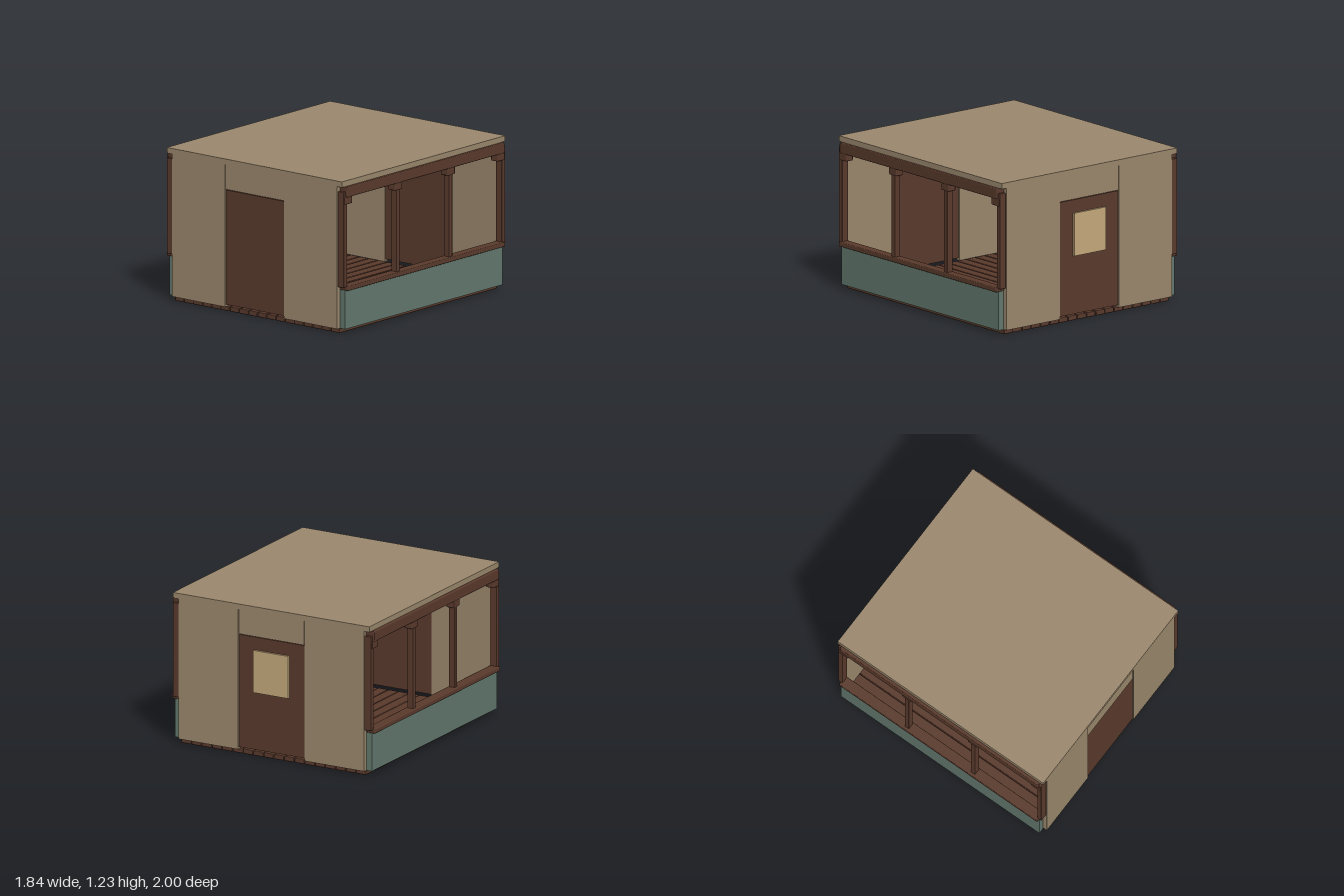
import * as THREE from 'three';
import { RoundedBoxGeometry } from 'three/addons/geometries/RoundedBoxGeometry.js';

const material = (name, color) => {
  const m = new THREE.MeshStandardMaterial({ color });
  m.name = name;
  return m;
};

export function createModel() {
  const plaster = material('tan plaster', 0x9b886d);
  const wood = material('dark wood', 0x5a3a2c);
  const teal = material('muted teal', 0x62786d);
  const paper = material('warm paper', 0xc4a97c);

  const model = new THREE.Group();
  model.name = 'pavilion';
  const body = new THREE.Group();
  body.name = 'body';
  body.position.z = 0.005; // the rear window overhangs slightly
  model.add(body);

  // Box from its limits, with an optional small bevel
  const box = (name, mat, [x0, x1], [y0, y1], [z0, z1], bevel = 0) => {
    const size = [x1 - x0, y1 - y0, z1 - z0];
    const geo = bevel ? new RoundedBoxGeometry(...size, 1, bevel) : new THREE.BoxGeometry(...size);
    const mesh = new THREE.Mesh(geo, mat);
    mesh.name = name;
    mesh.position.set((x0 + x1) / 2, (y0 + y1) / 2, (z0 + z1) / 2);
    body.add(mesh);
    return mesh;
  };
  const span = (a, b, s) => (s > 0 ? [a, b] : [-b, -a]);
  const around = (c, w) => [c - w / 2, c + w / 2];

  // Floor planks
  const planks = 18, pitch = 1.68 / planks;
  for (let i = 0; i < planks; i++) {
    box('floorPlank', wood, around(-0.84 + (i + 0.5) * pitch, pitch - 0.006), [0, 0.04], [-0.96, 0.96], 0.007);
  }

  // Roof slab and ceiling rafters
  box('roof', plaster, [-0.89, 0.89], [1.185, 1.23], [-0.995, 0.995]);
  for (const z of [-0.75, -0.25, 0.25, 0.75]) {
    box('rafter', wood, [-0.85, 0.85], [1.12, 1.186], around(z, 0.05));
  }

  // End walls with a door and a panel over it
  for (const s of [1, -1]) {
    for (const side of [1, -1]) {
      box('endWall', plaster, span(0.3, 0.84, side), [0.04, 1.186], span(0.955, 0.993, s));
    }
    box('lintelPanel', plaster, [-0.296, 0.296], [0.985, 1.186], span(0.96, 0.99, s));
    box('door', wood, [-0.297, 0.297], [0.06, 0.98], span(0.96, 0.987, s));
  }
  box('doorWindow', paper, [-0.16, 0.16], [0.53, 0.875], [-1.005, -0.986]);

  // Open sides: low panel, sill, posts with brackets and top beam
  for (const s of [1, -1]) {
    box('lowPanel', teal, span(0.842, 0.893, s), [0.04, 0.352], [-0.96, 0.96]);
    box('sill', wood, span(0.835, 0.922, s), [0.35, 0.388], [-0.96, 0.96], 0.008);
    box('topBeam', wood, span(0.835, 0.914, s), [1.1, 1.185], [-0.96, 0.96], 0.008);
    for (const z of [-0.32, 0.32]) {
      box('post', wood, span(0.845, 0.9, s), [0.38, 1.11], around(z, 0.043), 0.006);
      box('postBracket', wood, span(0.835, 0.906, s), [1.042, 1.105], around(z, 0.092), 0.008);
    }
    for (const e of [1, -1]) {
      box('cornerPost', wood, span(0.838, 0.9, s), [0.375, 1.145], span(0.942, 0.985, e), 0.006);
      box('cornerBracket', wood, span(0.835, 0.906, s), [1.042, 1.105], span(0.885, 0.975, e), 0.008);
    }
  }

  // Hanging round lanterns
  for (const z of [-0.575, 0.575]) {
    const cord = new THREE.Mesh(new THREE.CylinderGeometry(0.005, 0.005, 0.14, 6), wood);
    cord.name = 'lanternCord';
    cord.position.set(0, 1.12, z);
    const lantern = new THREE.Mesh(new THREE.SphereGeometry(0.07, 16, 12), paper);
    lantern.name = 'lantern';
    lantern.position.set(0, 0.997, z);
    body.add(cord, lantern);
  }
  return model;
}
